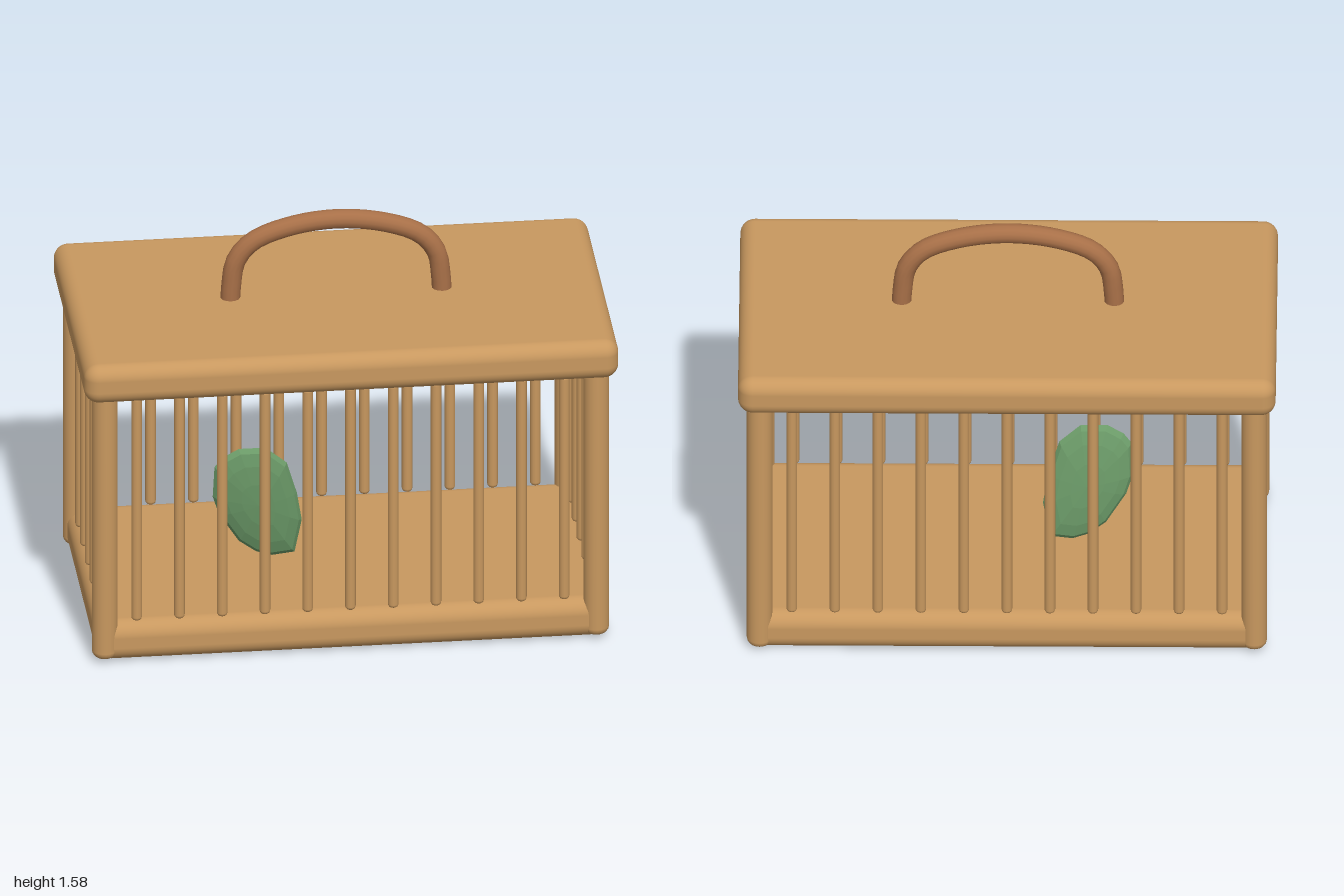
import * as THREE from 'three';
import { RoundedBoxGeometry } from 'three/addons/geometries/RoundedBoxGeometry.js';

const wood = new THREE.MeshStandardMaterial({ color: 0xc8985f });
const darkWood = new THREE.MeshStandardMaterial({ color: 0xa87048 });
const green = new THREE.MeshStandardMaterial({ color: 0x6b9a68 });

function add(parent, name, geometry, material, x = 0, y = 0, z = 0) {
  const mesh = new THREE.Mesh(geometry, material);
  mesh.name = name;
  mesh.position.set(x, y, z);
  parent.add(mesh);
  return mesh;
}

// Upright rod with softly rounded ends
function rodGeometry(radius, y0, y1, round, sides) {
  const profile = [new THREE.Vector2(0, y0)];
  for (let i = 0; i <= 4; i++) {
    const a = (i / 4) * Math.PI / 2;
    profile.push(new THREE.Vector2(radius - round + round * Math.sin(a), y0 + round - round * Math.cos(a)));
  }
  for (let i = 4; i >= 0; i--) {
    const a = (i / 4) * Math.PI / 2;
    profile.push(new THREE.Vector2(radius - round + round * Math.sin(a), y1 - round + round * Math.cos(a)));
  }
  profile.push(new THREE.Vector2(0, y1));
  return new THREE.LatheGeometry(profile, sides);
}

// Thin lens built from scaled copies of one outline, leaning forward at the top
function leafGeometry() {
  const outline = [
    [-0.46, 0.56], [-0.43, 0.6], [-0.37, 0.635], [-0.27, 0.635], [-0.19, 0.565], [-0.15, 0.43],
    [-0.13, 0.31], [-0.155, 0.17], [-0.24, 0.16], [-0.3, 0.18], [-0.365, 0.23], [-0.44, 0.35], [-0.465, 0.43],
  ];
  const cx = -0.295, cy = 0.4, n = outline.length, rings = 8;
  const positions = [], index = [];
  for (let r = 0; r <= rings; r++) {
    const a = (r / rings - 0.5) * Math.PI;
    const s = Math.cos(a);
    for (const [px, py] of outline) {
      const x = cx + (px - cx) * s, y = cy + (py - cy) * s;
      positions.push(x, y, -0.002 + (y - 0.16) * 0.12 + 0.04 * Math.sin(a));
    }
  }
  for (let r = 0; r < rings; r++) {
    for (let k = 0; k < n; k++) {
      const a = r * n + k, b = r * n + (k + 1) % n;
      index.push(a, a + n, b, b, a + n, b + n);
    }
  }
  const g = new THREE.BufferGeometry();
  g.setAttribute('position', new THREE.Float32BufferAttribute(positions, 3));
  g.setIndex(index);
  const flat = g.toNonIndexed();
  flat.computeVertexNormals();
  return flat;
}

export function createModel() {
  const model = new THREE.Group();
  model.name = 'cage';

  // Floor and roof slabs
  add(model, 'floor', new RoundedBoxGeometry(1.91, 0.16, 1.035, 5, 0.06), wood, 0, 0.08, 0);
  add(model, 'roof', new RoundedBoxGeometry(2, 0.155, 1.11, 5, 0.055), wood, 0, 1.1625, 0);

  // Corner posts
  const post = rodGeometry(0.048, 0.015, 1.13, 0.03, 20);
  for (const sx of [-1, 1]) {
    for (const sz of [-1, 1]) add(model, 'cornerPost', post, wood, sx * 0.92, 0, sz * 0.482);
  }

  // Bars along the four walls
  const bar = rodGeometry(0.02, 0.16, 1.087, 0.014, 12);
  const bars = new THREE.Group();
  bars.name = 'bars';
  model.add(bars);
  for (const side of [-1, 1]) {
    for (let i = -5; i <= 5; i++) add(bars, 'longWallBar', bar, wood, i * 0.16, 0, side * 0.48);
    for (let i = -2; i <= 2; i++) add(bars, 'endWallBar', bar, wood, side * 0.92, 0, i * 0.16);
  }

  // Arched carrying handle
  const half = [[0.397, 1.2], [0.393, 1.28], [0.375, 1.39], [0.315, 1.465], [0.18, 1.52]];
  const points = [
    ...half.map(([x, y]) => new THREE.Vector3(-x, y, 0)),
    new THREE.Vector3(0, 1.543, 0),
    ...half.slice().reverse().map(([x, y]) => new THREE.Vector3(x, y, 0)),
  ];
  const path = new THREE.CatmullRomCurve3(points);
  add(model, 'handle', new THREE.TubeGeometry(path, 32, 0.037, 14), darkWood);

  // Leaf standing on the floor
  add(model, 'leaf', leafGeometry(), green);

  return model;
}
